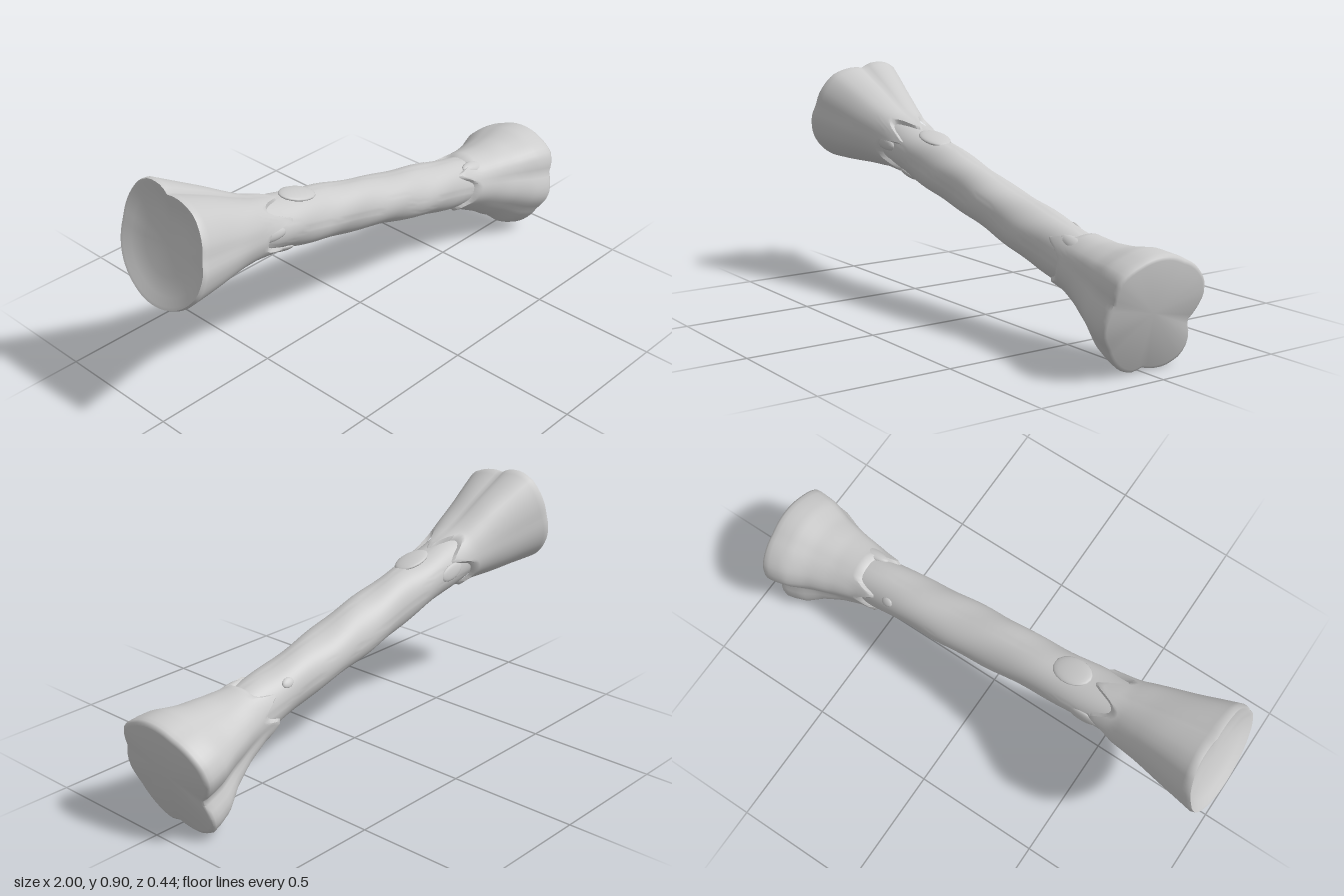
import * as THREE from 'three';
import { toCreasedNormals } from 'three/addons/utils/BufferGeometryUtils.js';

const SEG = 64;
const TAU = Math.PI * 2;
const material = new THREE.MeshStandardMaterial({ color: 0xcccccc });

// End outlines, as (z, height) pairs about the bone's axis
const LEFT_END = [[0.22, -0.015], [0.205, 0.03], [0.2, 0.07], [0.14, 0.16], [0.1, 0.178], [0, 0.185], [-0.03, 0.203],
  [-0.1, 0.207], [-0.148, 0.18], [-0.2, 0.03], [-0.203, 0], [-0.178, -0.108], [-0.1, -0.185], [-0.05, -0.208],
  [0.05, -0.212], [0.13, -0.18], [0.205, -0.1]];
const RIGHT_END = [[0.208, -0.016], [0.185, 0.055], [0.185, 0.1], [0.17, 0.143], [0.1, 0.185], [0, 0.205], [-0.09, 0.18],
  [-0.205, 0.097], [-0.22, 0.035], [-0.165, -0.058], [-0.19, -0.115], [-0.19, -0.15], [-0.17, -0.192], [-0.11, -0.22],
  [0, -0.208], [0.05, -0.22], [0.09, -0.203], [0.17, -0.11], [0.205, -0.053]];

// Piecewise linear lookup in ascending [key, value] pairs
function lookup(table, x) {
  let i = 1;
  while (i < table.length - 1 && table[i][0] < x) i++;
  const [a, b] = [table[i - 1], table[i]];
  return THREE.MathUtils.lerp(a[1], b[1], THREE.MathUtils.clamp((x - a[0]) / (b[0] - a[0]), 0, 1));
}

// Radius by angle for an outline
function polar(outline) {
  const p = outline.map(([z, y]) => [(Math.atan2(y, z) + TAU) % TAU, Math.hypot(z, y)]).sort((a, b) => a[0] - b[0]);
  const n = p.length - 1;
  const table = [[p[n][0] - TAU, p[n][1]], ...p, [p[0][0] + TAU, p[0][1]]];
  return (a) => lookup(table, a);
}

// Skin rows of points along +x; point(row, angle) gives [x, radius]
function loft(name, rows, point) {
  const pos = [], index = [];
  for (let i = 0; i < rows; i++) {
    for (let j = 0; j < SEG; j++) {
      const a = (j / SEG) * TAU, [x, r] = point(i, a);
      pos.push(x, r * Math.sin(a), r * Math.cos(a));
      if (i === rows - 1) continue;
      const k = i * SEG + j, l = i * SEG + ((j + 1) % SEG);
      index.push(k, k + SEG, l, l, k + SEG, l + SEG);
    }
  }
  const geo = new THREE.BufferGeometry();
  geo.setAttribute('position', new THREE.Float32BufferAttribute(pos, 3));
  geo.setIndex(index);
  const mesh = new THREE.Mesh(toCreasedNormals(geo, 0.9), material);
  mesh.name = name;
  return mesh;
}

// Slightly uneven shaft radius
const shaftRadius = (x, a) => 0.097 + 0.004 * Math.abs(Math.cos(a))
  + 0.003 * Math.sin(9 * x + 2 * a) + 0.002 * Math.sin(23 * x - 3 * a);

// Flared end whose inner edge runs out in tongues over the shaft
function flare(name, side, outline, profile, tongues, cap) {
  const radius = polar(outline), body = 22;
  const rows = [];
  for (let i = 0; i <= body; i++) rows.push(['body', i / body]);
  for (const c of cap) rows.push(['cap', c]);
  if (side < 0) rows.reverse();
  return loft(name, rows.length, (i, a) => {
    const [kind, v] = rows[i];
    if (kind === 'cap') return [side * v[0], radius(a) * v[1]];
    let tip = 0.58;
    for (const [at, width, length] of tongues) {
      const d = Math.atan2(Math.sin(a - at), Math.cos(a - at)) / width;
      tip -= length * Math.exp(-d * d);
    }
    const d = THREE.MathUtils.lerp(tip, 0.965, v);
    const base = shaftRadius(side * d, a);
    const lip = v === 0 ? -0.01 : 0.005 * (1 - v);
    return [side * d, THREE.MathUtils.lerp(base, radius(a), lookup(profile, d)) + lip];
  });
}

// Small flattened lump lying on the shaft
function lump(x, angle, length, width, height) {
  const mesh = new THREE.Mesh(new THREE.SphereGeometry(1, 18, 12), material);
  mesh.name = 'surfaceLump';
  mesh.scale.set(length, height, width);
  mesh.rotation.x = Math.PI / 2 - angle;
  const r = shaftRadius(x, angle);
  mesh.position.set(x, r * Math.sin(angle), r * Math.cos(angle));
  return mesh;
}

export function createModel() {
  const model = new THREE.Group();
  model.name = 'bone';
  const bone = new THREE.Group();
  bone.name = 'tiltedBone';
  bone.rotation.z = -0.253;
  bone.position.y = 0.46;
  model.add(bone);

  // Shaft
  bone.add(loft('shaft', 41, (i, a) => {
    const x = -0.75 + (1.5 * i) / 40;
    return [x, shaftRadius(x, a)];
  }));

  // Upper end with a shallow hollow
  bone.add(flare('upperEnd', -1, LEFT_END,
    [[0.4, 0.02], [0.5, 0.05], [0.6, 0.15], [0.7, 0.37], [0.8, 0.61], [0.9, 0.85], [0.965, 1]],
    [[1.5, 0.35, 0.12], [0.45, 0.22, 0.13], [5.5, 0.25, 0.13], [2.7, 0.3, 0.1], [4.1, 0.3, 0.06]],
    [[0.98, 0.98], [0.978, 0.93], [0.965, 0.8], [0.955, 0.5], [0.95, 0]]));

  // Lower end with a flat face
  bone.add(flare('lowerEnd', 1, RIGHT_END,
    [[0.4, 0.02], [0.5, 0.04], [0.6, 0.1], [0.7, 0.29], [0.8, 0.56], [0.88, 0.88], [0.93, 0.97], [0.965, 1]],
    [[0.7, 0.28, 0.1], [5.3, 0.4, 0.07], [2.6, 0.25, 0.08], [3.6, 0.3, 0.07]],
    [[0.976, 0.98], [0.98, 0.93], [0.98, 0]]));

  // Lumps: [position along shaft, angle, length, width, height]
  for (const l of [[-0.37, 1.5, 0.08, 0.055, 0.014], [-0.45, 5.3, 0.05, 0.03, 0.012], [0.44, 2.5, 0.025, 0.018, 0.008],
    [0.62, 0.95, 0.09, 0.03, 0.02], [-0.6, 0.1, 0.1, 0.03, 0.02], [-0.47, 3.0, 0.06, 0.03, 0.01]]) bone.add(lump(...l));

  return model;
}
